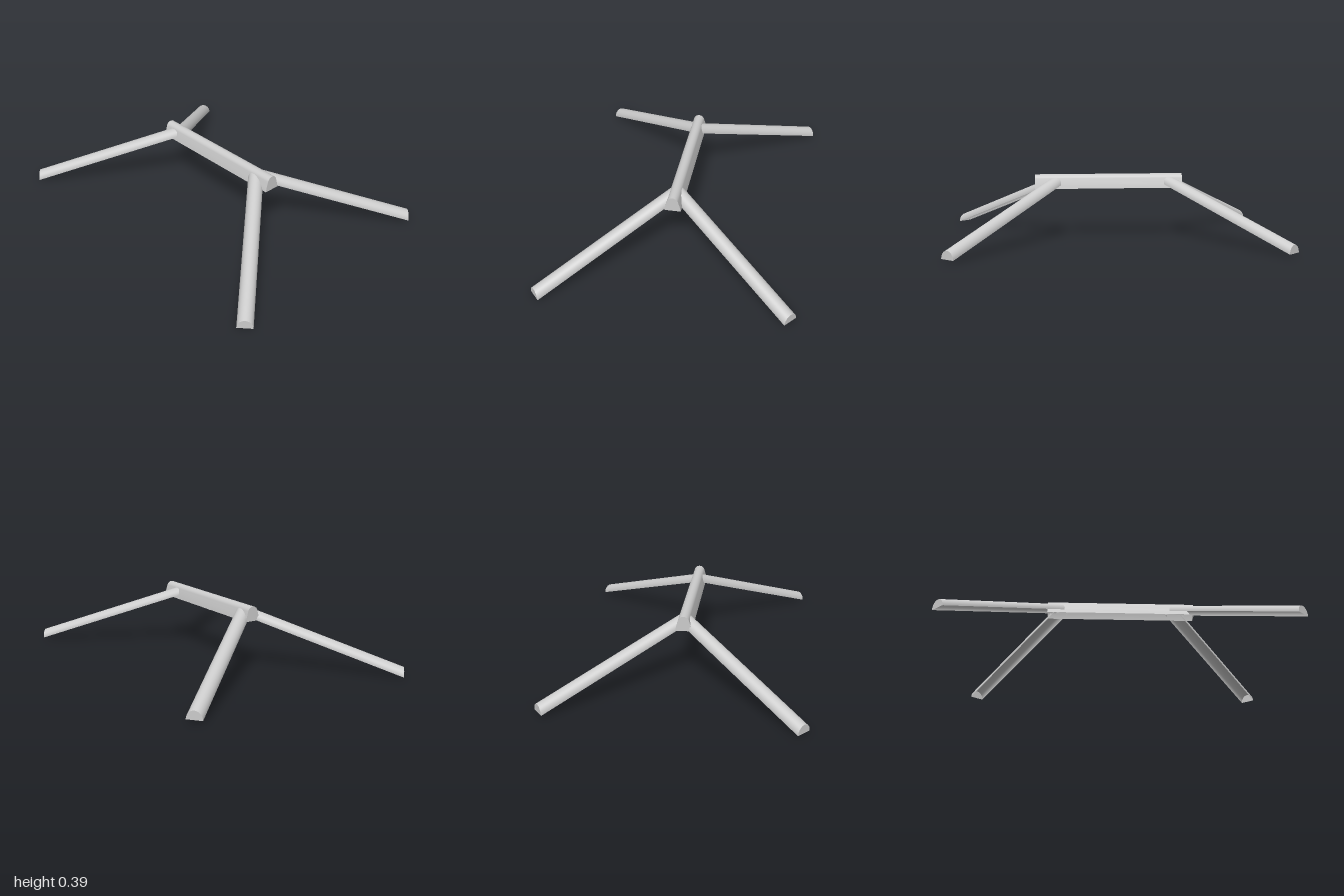
import * as THREE from 'three';

const material = new THREE.MeshStandardMaterial({ color: 0xcccccc, side: THREE.DoubleSide });

// Half-round section: [sideways, up] pairs from one lower edge over the top to the other
function archProfile(radius, height, steps = 24) {
  const points = [];
  for (let i = 0; i <= steps; i++) {
    const a = (Math.PI * i) / steps;
    points.push([radius * Math.cos(a), height * Math.sin(a)]);
  }
  return points;
}

// Taller section: flared straight sides under a round top
function ridgeProfile(halfWidth, height, topRadius, steps = 20) {
  const points = [[halfWidth, 0], [halfWidth * 0.9, height * 0.3]];
  const tilt = 0.2;
  for (let i = 0; i <= steps; i++) {
    const a = tilt + ((Math.PI - 2 * tilt) * i) / steps;
    points.push([topRadius * Math.cos(a), height - topRadius + topRadius * Math.sin(a)]);
  }
  points.push([-halfWidth * 0.9, height * 0.3], [-halfWidth, 0]);
  return points;
}

// Open-bottomed channel with upright, closed ends, swept between two base points
function channel(name, profile, start, end) {
  const up = new THREE.Vector3(0, 1, 0);
  const along = end.clone().sub(start).setY(0).normalize();
  const side = along.clone().cross(up);
  const place = (base, [s, u]) => base.clone().addScaledVector(side, s).addScaledVector(up, u);
  const positions = [];
  const index = [];
  const add = (v) => positions.push(v.x, v.y, v.z) / 3 - 1;

  // Curved shell
  profile.forEach((p, i) => {
    const a = add(place(start, p));
    const b = add(place(end, p));
    if (i < profile.length - 1) index.push(a, b, a + 2, b, b + 2, a + 2);
  });

  // End caps as fans, with their own vertices for a sharp edge
  for (const [base, flip] of [[start, false], [end, true]]) {
    const centre = add(base);
    const first = centre + 1;
    profile.forEach((p) => add(place(base, p)));
    for (let i = 0; i < profile.length - 1; i++) {
      if (flip) index.push(centre, first + i + 1, first + i);
      else index.push(centre, first + i, first + i + 1);
    }
  }

  const geometry = new THREE.BufferGeometry();
  geometry.setAttribute('position', new THREE.Float32BufferAttribute(positions, 3));
  geometry.setIndex(index);
  geometry.computeVertexNormals();
  const mesh = new THREE.Mesh(geometry, material);
  mesh.name = name;
  return mesh;
}

export function createModel() {
  const model = new THREE.Group();
  model.name = 'roofRidgeCaps';
  const ridgeZ = 0.0125;

  // Horizontal ridge cap
  model.add(channel('ridgeCap', ridgeProfile(0.047, 0.086, 0.033),
    new THREE.Vector3(-0.43, 0.3, ridgeZ), new THREE.Vector3(0.475, 0.3, ridgeZ)));

  // Four sloping hip caps, mirrored left and right
  const hip = archProfile(0.044, 0.049);
  for (const [label, s] of [['Left', 1], ['Right', -1]]) {
    model.add(channel('frontHipCap' + label, hip,
      new THREE.Vector3(s * 0.345, 0.328, ridgeZ), new THREE.Vector3(s * 0.968, 0, 0.69)));
    model.add(channel('backHipCap' + label, hip,
      new THREE.Vector3(s * 0.338, 0.328, ridgeZ), new THREE.Vector3(s * 0.932, 0.012, -0.702)));
  }
  return model;
}
